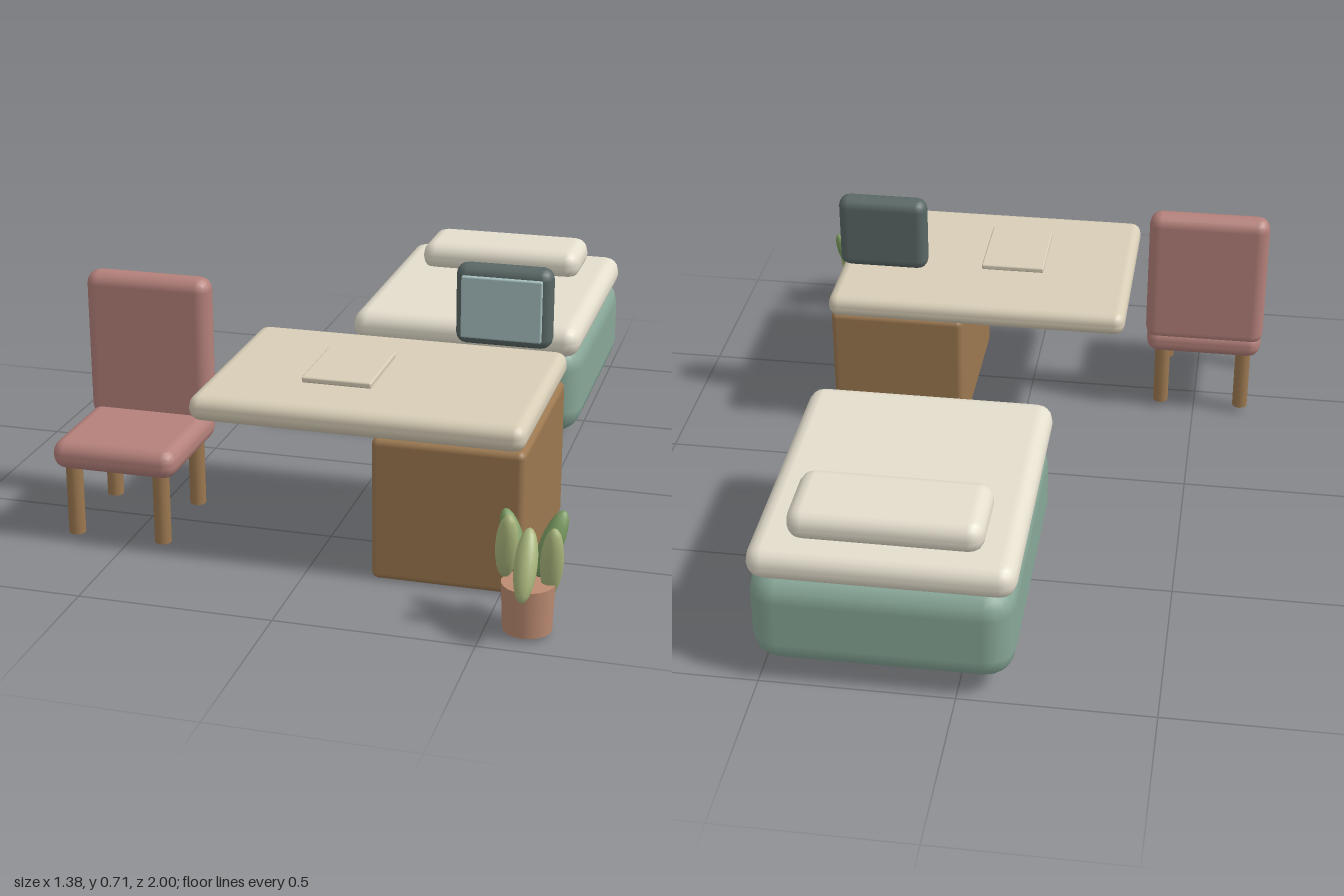
import * as THREE from 'three';
import { RoundedBoxGeometry } from 'three/addons/geometries/RoundedBoxGeometry.js';

const paint = (color) => new THREE.MeshStandardMaterial({ color });
const PAINT = {
  sage: paint(0x88a898), linen: paint(0xe4decd), top: paint(0xd8ceb7),
  wood: paint(0x9c7850), rose: paint(0xb5817b), slate: paint(0x5a6866),
  glass: paint(0xa6bfbf), clay: paint(0xbc8b72),
  leafLight: paint(0xa9b67c), leafDark: paint(0x7c9c62),
};

function add(parent, name, geometry, material) {
  const mesh = new THREE.Mesh(geometry, material);
  mesh.name = name;
  parent.add(mesh);
  return mesh;
}

// Rounded box given by its [min, max] extent on each axis
function box(parent, name, material, x, y, z, radius) {
  const geometry = new RoundedBoxGeometry(x[1] - x[0], y[1] - y[0], z[1] - z[0], 2, radius);
  const mesh = add(parent, name, geometry, material);
  mesh.position.set((x[0] + x[1]) / 2, (y[0] + y[1]) / 2, (z[0] + z[1]) / 2);
  return mesh;
}

// Slim ellipsoid stretched between two tips
function leaf(parent, material, from, to) {
  const a = new THREE.Vector3(...from);
  const b = new THREE.Vector3(...to);
  const axis = b.clone().sub(a);
  const mesh = add(parent, 'leaf', new THREE.SphereGeometry(1, 12, 10), material);
  mesh.scale.set(0.028, axis.length() / 2, 0.028);
  mesh.position.copy(a).add(b).multiplyScalar(0.5);
  mesh.quaternion.setFromUnitVectors(new THREE.Vector3(0, 1, 0), axis.normalize());
}

function group(parent, name) {
  const g = new THREE.Group();
  g.name = name;
  parent.add(g);
  return g;
}

export function createModel() {
  const model = new THREE.Group();
  model.name = 'bedroomSet';

  // Bed
  const bed = group(model, 'bed');
  box(bed, 'bedBase', PAINT.sage, [-0.142, 0.522], [0.045, 0.32], [-1, -0.227], 0.075);
  box(bed, 'mattress', PAINT.linen, [-0.147, 0.522], [0.292, 0.385], [-0.985, -0.203], 0.044);
  box(bed, 'pillow', PAINT.linen, [-0.06, 0.432], [0.37, 0.46], [-0.918, -0.695], 0.042);

  // Desk with cabinet, paper and floating monitor
  const desk = group(model, 'desk');
  box(desk, 'desktop', PAINT.top, [-0.302, 0.555], [0.382, 0.45], [0.145, 0.742], 0.03);
  box(desk, 'cabinet', PAINT.wood, [0.167, 0.554], [0, 0.378], [0.178, 0.718], 0.018);
  box(desk, 'paper', PAINT.top, [-0.046, 0.136], [0.46, 0.476], [0.352, 0.596], 0.005);
  const monitor = group(desk, 'monitor');
  box(monitor, 'monitorCase', PAINT.slate, [0.28, 0.535], [0.497, 0.713], [0.247, 0.314], 0.03);
  box(monitor, 'screen', PAINT.glass, [0.3, 0.512], [0.522, 0.688], [0.312, 0.326], 0.005);

  // Chair
  const chair = group(model, 'chair');
  box(chair, 'seat', PAINT.rose, [-0.688, -0.352], [0.202, 0.28], [0.372, 0.722], 0.035);
  box(chair, 'backrest', PAINT.rose, [-0.692, -0.348], [0.245, 0.655], [0.372, 0.447], 0.035);
  const legGeometry = new THREE.CylinderGeometry(0.022, 0.022, 0.212, 12);
  for (const x of [-0.639, -0.4]) {
    for (const z of [0.418, 0.68]) {
      add(chair, 'chairLeg', legGeometry, PAINT.wood).position.set(x, 0.124, z);
    }
  }

  // Potted plant
  const plant = group(model, 'plant');
  add(plant, 'pot', new THREE.CylinderGeometry(0.065, 0.06, 0.12, 20), PAINT.clay)
    .position.set(0.602, 0.07, 0.894);
  leaf(plant, PAINT.leafLight, [0.605, 0.12, 0.993], [0.605, 0.275, 0.905]);
  leaf(plant, PAINT.leafLight, [0.54, 0.125, 0.87], [0.556, 0.303, 0.913]);
  leaf(plant, PAINT.leafLight, [0.648, 0.09, 0.87], [0.664, 0.28, 0.91]);
  leaf(plant, PAINT.leafDark, [0.58, 0.125, 0.862], [0.528, 0.28, 0.822]);
  leaf(plant, PAINT.leafDark, [0.618, 0.13, 0.862], [0.672, 0.29, 0.822]);

  return model;
}
